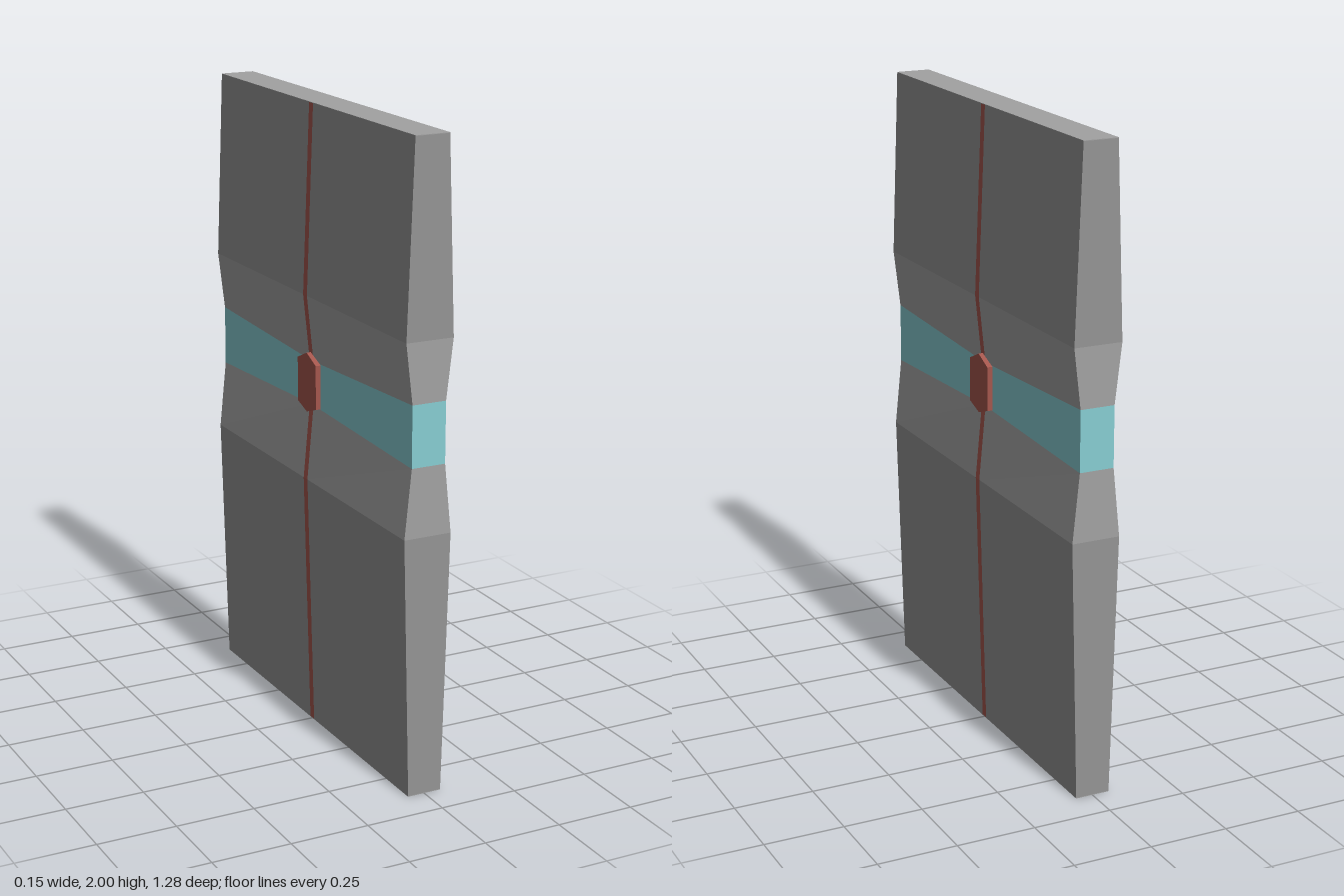
import * as THREE from 'three';

const HALF_DEPTH = 0.64;
const HALF_SEAM = 0.013;
const DARK = 0x949494, PALE = 0xa2a2a2, TEAL = 0x87cdd2, RED = 0xa5564d;

// Levels from the floor up: height at the outer ends, height at the seam, half thickness
const LEVELS = [
  [0, 0, 0.055], [0.002, 0.002, 0.055], [0.82, 0.82, 0.077], [1.035, 1.059, 0.055],
  [1.225, 1.2, 0.055], [1.41, 1.41, 0.077], [1.998, 1.998, 0.055], [2, 2, 0.055],
];

// Layer between each pair of levels: name, panel colour, seam colour
const LAYERS = [
  ['bottomEdge', PALE, PALE], ['lowerPanel', DARK, RED], ['lowerRecess', PALE, RED], ['middleBand', TEAL, RED],
  ['upperRecess', PALE, RED], ['upperPanel', DARK, RED], ['topEdge', PALE, PALE],
];

function makeMesh(name, geometry, color) {
  const material = new THREE.MeshStandardMaterial({ color, flatShading: true });
  const mesh = new THREE.Mesh(geometry, material);
  mesh.name = name;
  return mesh;
}

// Block between two levels, running from z0 to z1
function blockGeometry(lower, upper, z0, z1) {
  const geometry = new THREE.BoxGeometry(2, 2, 2);
  const pos = geometry.attributes.position;
  for (let i = 0; i < pos.count; i++) {
    const [outerY, seamY, halfWidth] = pos.getY(i) > 0 ? upper : lower;
    const z = pos.getZ(i) > 0 ? z1 : z0;
    const y = Math.abs(z) > HALF_SEAM ? outerY : seamY;
    pos.setXYZ(i, pos.getX(i) * halfWidth, y, z);
  }
  geometry.computeVertexNormals();
  return geometry;
}

// Upright hexagonal plate running through the door
function lockGeometry() {
  const corners = [[0, -0.094], [0.062, -0.073], [0.062, 0.067], [0, 0.095], [-0.062, 0.067], [-0.062, -0.073]];
  const shape = new THREE.Shape(corners.map(([z, y]) => new THREE.Vector2(z, y)));
  const geometry = new THREE.ExtrudeGeometry(shape, { depth: 0.144, bevelEnabled: false });
  return geometry.translate(0, 0, -0.072).rotateY(Math.PI / 2).translate(0, 1.132, 0);
}

export function createModel() {
  const model = new THREE.Group();
  model.name = 'door';

  // Front leaf, back leaf and the flush seam between them
  LAYERS.forEach(([name, color, seamColor], i) => {
    const block = (z0, z1) => blockGeometry(LEVELS[i], LEVELS[i + 1], z0, z1);
    model.add(
      makeMesh(`${name}Front`, block(HALF_SEAM, HALF_DEPTH), color),
      makeMesh(`${name}Back`, block(-HALF_DEPTH, -HALF_SEAM), color),
      makeMesh(`${name}Seam`, block(-HALF_SEAM, HALF_SEAM), seamColor),
    );
  });

  model.add(makeMesh('hexagonalLock', lockGeometry(), RED));
  return model;
}
